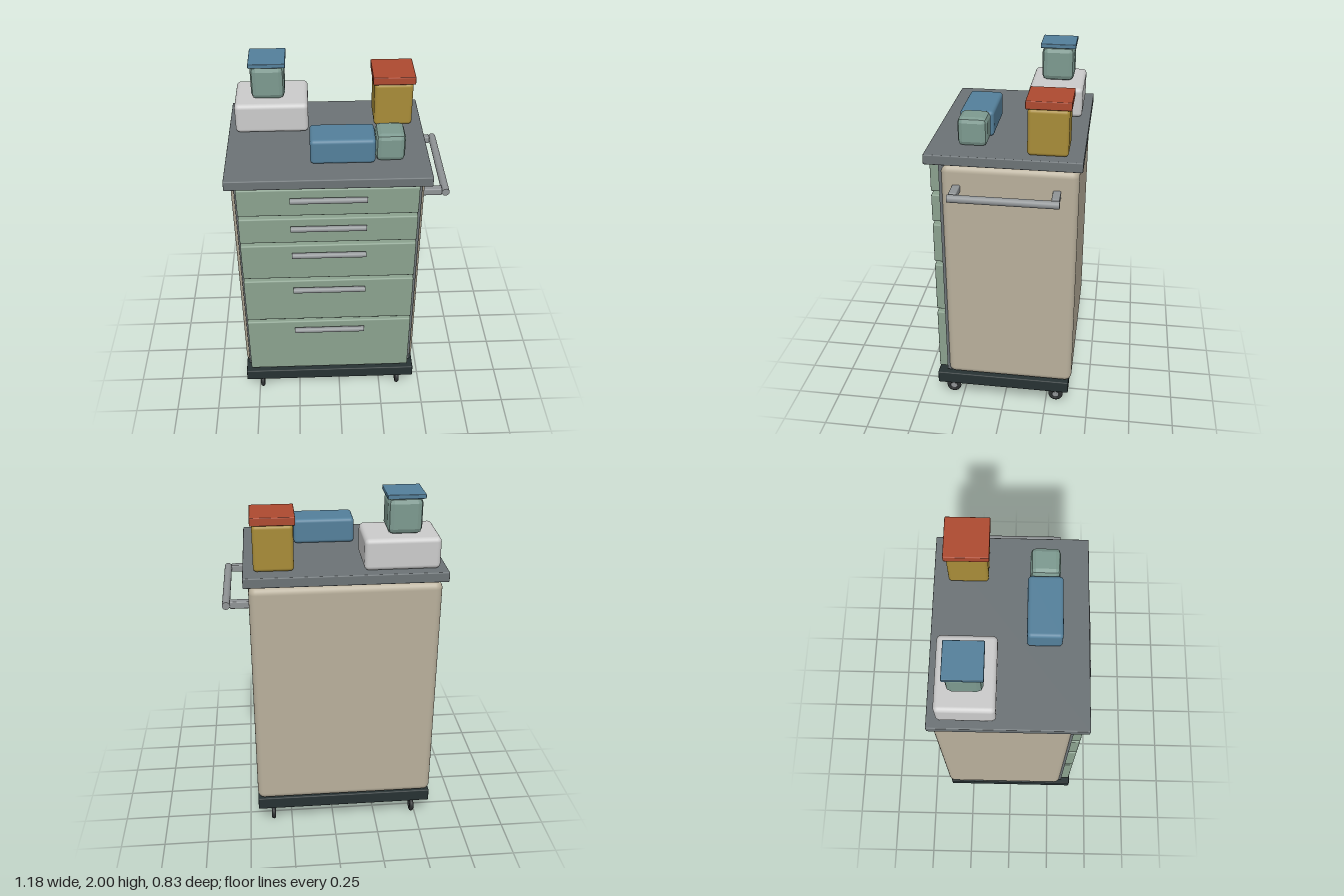
import * as THREE from 'three';
import { RoundedBoxGeometry } from 'three/addons/geometries/RoundedBoxGeometry.js';

const mat = (color) => new THREE.MeshStandardMaterial({ color });
const cream = mat(0xb9b09c), sage = mat(0x8ba28f), slate = mat(0x6c7376), dark = mat(0x273233);
const blue = mat(0x54809b), red = mat(0xae4a30), yellow = mat(0xa88c38), pale = mat(0xbcbcbc);
const glass = mat(0x7d9a90), metal = mat(0x909496), tyre = mat(0x2c2f30);
glass.flatShading = true;

export function createModel() {
  const model = new THREE.Group();

  function add(name, geometry, material, x, y, z, parent = model) {
    const mesh = new THREE.Mesh(geometry, material);
    mesh.name = name;
    mesh.position.set(x, y, z);
    parent.add(mesh);
    return mesh;
  }

  // Box from its limits on each axis; radius rounds the edges, one segment chamfers them
  function box(name, material, [x0, x1], [y0, y1], [z0, z1], radius = 0, segments = 4) {
    const size = [x1 - x0, y1 - y0, z1 - z0];
    const geometry = radius
      ? new RoundedBoxGeometry(...size, segments, radius)
      : new THREE.BoxGeometry(...size);
    return add(name, geometry, material, (x0 + x1) / 2, (y0 + y1) / 2, (z0 + z1) / 2);
  }

  // Cabinet
  box('cabinetBody', cream, [-0.57, 0.448], [0.21, 1.55], [-0.4, 0.323], 0.04, 5);
  box('frontPanel', slate, [-0.55, 0.43], [0.22, 1.545], [0.3, 0.332]);
  box('worktop', slate, [-0.594, 0.474], [1.56, 1.615], [-0.418, 0.402], 0.006, 2);
  box('basePlate', dark, [-0.57, 0.448], [0.13, 0.203], [-0.385, 0.388], 0.006, 2);

  // Drawers: bottom, top, handle height
  const drawers = [
    [1.38, 1.545, 1.487],
    [1.2, 1.36, 1.305],
    [0.948, 1.18, 1.124],
    [0.633, 0.927, 0.872],
    [0.228, 0.612, 0.56],
  ];
  const pull = new THREE.CylinderGeometry(0.016, 0.016, 0.402, 16).rotateZ(Math.PI / 2);
  drawers.forEach(([y0, y1, handleY], i) => {
    box(`drawer${i + 1}`, sage, [-0.538, 0.412], [y0, y1], [0.33, 0.383], 0.008, 2);
    add(`drawerHandle${i + 1}`, pull, metal, -0.061, handleY, 0.401);
  });

  // Push handle on the side
  const bar = new THREE.CylinderGeometry(0.021, 0.021, 0.574, 20).rotateX(Math.PI / 2);
  add('pushBar', bar, metal, 0.569, 1.423, -0.026);
  for (const z of [-0.289, 0.238])
    box('pushBarBracket', metal, [0.44, 0.55], [1.403, 1.443], [z - 0.021, z + 0.021], 0.006, 2);

  // Casters
  const tyreGeometry = new THREE.TorusGeometry(0.03, 0.013, 10, 24).rotateY(Math.PI / 2);
  const hubGeometry = new THREE.CylinderGeometry(0.02, 0.02, 0.016, 16).rotateZ(Math.PI / 2);
  const stemGeometry = new THREE.CylinderGeometry(0.012, 0.012, 0.08, 12);
  for (const x of [-0.48, 0.36]) {
    for (const z of [-0.308, 0.313]) {
      const caster = new THREE.Group();
      caster.name = 'caster';
      caster.position.set(x, 0, z);
      model.add(caster);
      add('casterTyre', tyreGeometry, tyre, 0, 0.047, 0, caster);
      add('casterHub', hubGeometry, metal, 0, 0.047, 0, caster);
      add('casterStem', stemGeometry, metal, 0, 0.098, 0, caster);
    }
  }

  // Containers on the worktop
  box('paleBox', pale, [-0.554, -0.156], [1.615, 1.785], [-0.37, -0.067], 0.025);
  box('glassJar', glass, [-0.462, -0.28], [1.785, 1.978], [-0.309, -0.127], 0.03, 1);
  box('glassJarLid', blue, [-0.47, -0.272], [1.976, 2.0], [-0.317, -0.119], 0.004, 2);
  box('yellowCanister', yellow, [0.207, 0.418], [1.615, 1.864], [-0.339, -0.127], 0.02);
  box('canisterLid', red, [0.197, 0.428], [1.866, 1.91], [-0.35, -0.118], 0.005, 2);
  box('blueBox', blue, [-0.151, 0.188], [1.615, 1.755], [0.078, 0.26], 0.02);
  box('smallGlassJar', glass, [0.19, 0.343], [1.615, 1.77], [0.09, 0.246], 0.027, 1);

  return model;
}
